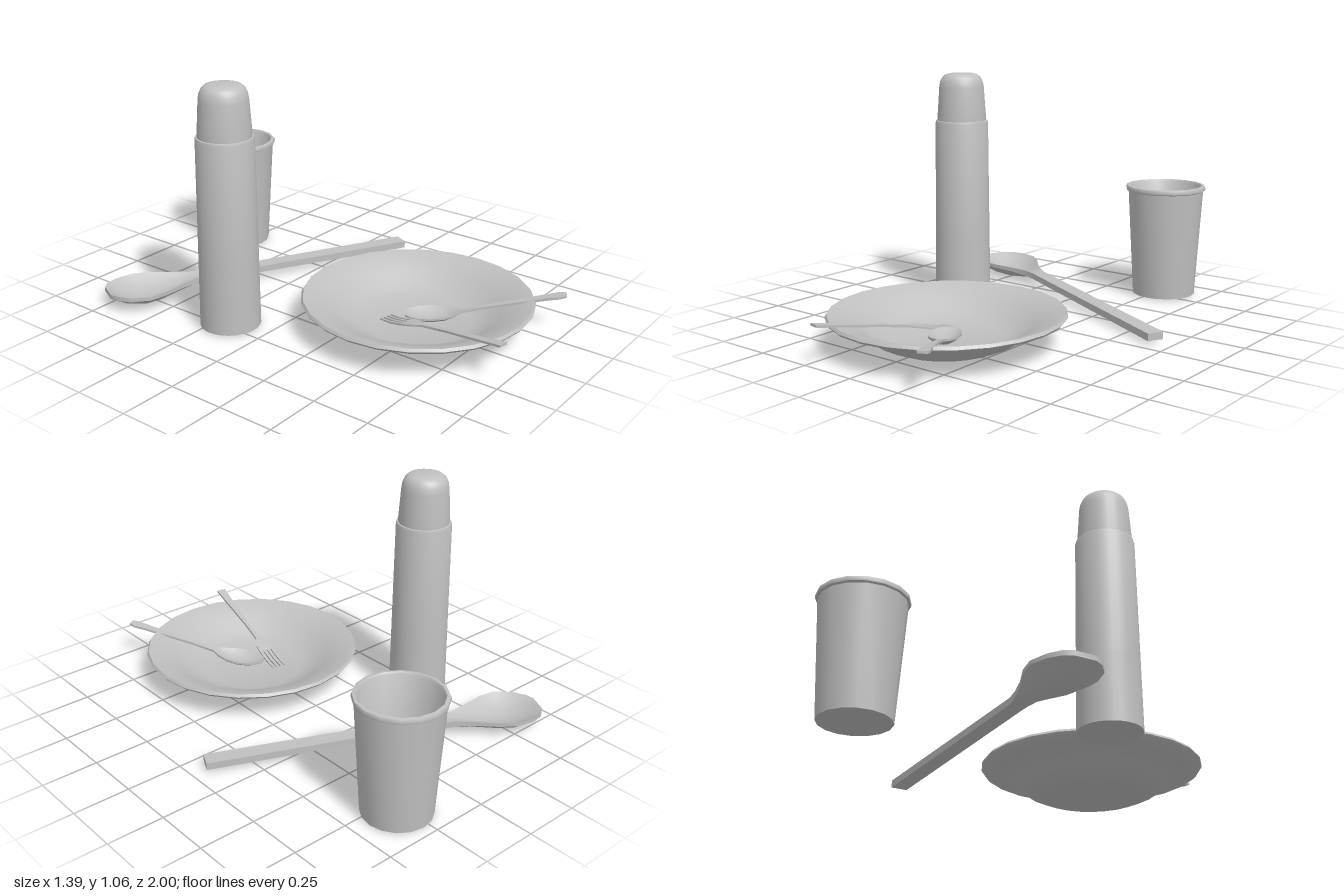
import * as THREE from 'three';
import { toCreasedNormals } from 'three/addons/utils/BufferGeometryUtils.js';

const grey = new THREE.MeshStandardMaterial({ color: 0xc0c0c0 });
grey.name = 'plain grey';

function makeMesh(name, geometry, crease = 0.7) {
  const mesh = new THREE.Mesh(toCreasedNormals(geometry, crease), grey);
  mesh.name = name;
  return mesh;
}

// Round part turned from [radius, height] points, bottom to top on the outside
function turned(name, profile, sides, x, z) {
  const points = profile.map(([r, y]) => new THREE.Vector2(r, y));
  const mesh = makeMesh(name, new THREE.LatheGeometry(points, sides));
  mesh.position.set(x, 0, z);
  return mesh;
}

// Closed strip from stations [along, centre, halfWidth, top, hollow, thickness]
function strip(name, stations, across = 8) {
  const positions = [];
  const index = [];
  const ring = 2 * (across + 1);
  for (const [s, c, w, top, hollow, thick] of stations) {
    for (let i = 0; i < ring; i++) {
      const under = i <= across;
      const u = ((under ? i : ring - 1 - i) / across) * 2 - 1;
      positions.push(c + u * w, top - hollow * (1 - u * u) - (under ? thick : 0), s);
    }
  }
  for (let j = 0; j < stations.length - 1; j++) {
    for (let i = 0; i < ring; i++) {
      const a = j * ring + i;
      const b = j * ring + ((i + 1) % ring);
      index.push(a, b, b + ring, a, b + ring, a + ring);
    }
  }
  const last = (stations.length - 1) * ring;
  for (let i = 1; i < ring - 1; i++) {
    index.push(0, i + 1, i, last, last + i, last + i + 1);
  }
  const geometry = new THREE.BufferGeometry();
  geometry.setAttribute('position', new THREE.Float32BufferAttribute(positions, 3));
  geometry.setIndex(index);
  return makeMesh(name, geometry);
}

// Lay a utensil with its tip at one point of the plan and its handle toward another
function lay(object, tip, end) {
  object.position.set(tip[0], 0, tip[1]);
  object.rotation.y = Math.atan2(end[0] - tip[0], end[1] - tip[1]);
  return object;
}

function makeFork() {
  const fork = new THREE.Group();
  fork.name = 'fork';
  for (const c of [-0.03, -0.01, 0.01, 0.03]) {
    fork.add(strip('forkTine', [
      [0, c, 0.003, 0.045, 0, 0.006],
      [0.06, c, 0.005, 0.052, 0, 0.008],
      [0.135, c, 0.006, 0.07, 0, 0.008],
    ], 1));
  }
  fork.add(strip('forkHandle', [
    [0.13, 0, 0.036, 0.069, 0, 0.008],
    [0.17, 0, 0.034, 0.08, 0, 0.008],
    [0.2, 0, 0.022, 0.087, 0, 0.009],
    [0.225, 0, 0.01, 0.092, 0, 0.01],
    [0.35, 0, 0.01, 0.118, 0, 0.01],
    [0.659, 0, 0.021, 0.177, 0, 0.01],
  ], 2));
  return fork;
}

export function createModel() {
  const model = new THREE.Group();
  model.name = 'tableware';

  // Flask: tapered body, seam ring and domed cap
  const fx = -0.46, fz = -0.19;
  model.add(turned('flaskBody', [
    [0, 0.008], [0.131, 0.008], [0.128, 0.3], [0.123, 0.835], [0.12, 0.846], [0.1, 0.85], [0, 0.85],
  ], 28, fx, fz));
  model.add(turned('flaskCap', [
    [0, 0.84], [0.114, 0.84], [0.114, 0.855], [0.104, 1.0], [0.1, 1.025], [0.09, 1.047],
    [0.075, 1.06], [0.055, 1.065], [0, 1.065],
  ], 28, fx, fz));

  // Cup: thin wall with a rolled rim
  model.add(turned('cup', [
    [0, 0.008], [0.148, 0.008], [0.178, 0.508], [0.187, 0.512], [0.189, 0.522], [0.185, 0.532],
    [0.172, 0.534], [0.165, 0.525], [0.135, 0.03], [0, 0.03],
  ], 16, 0.283, -0.812));

  // Soup plate: shallow basin with a broad sloping rim
  model.add(turned('plate', [
    [0, 0.008], [0.235, 0.008], [0.3, 0.036], [0.36, 0.078], [0.42, 0.106], [0.49, 0.128], [0.498, 0.138],
    [0.49, 0.15], [0.47, 0.145], [0.36, 0.1], [0.31, 0.06], [0.23, 0.032], [0, 0.028],
  ], 24, 0.01, 0.457));

  // Long serving spoon
  model.add(lay(strip('servingSpoon', [
    [0, -0.015, 0.045, 0.081, 0, 0.02],
    [0.02, -0.015, 0.08, 0.081, 0.012, 0.02],
    [0.07, -0.02, 0.118, 0.08, 0.042, 0.018],
    [0.15, -0.022, 0.14, 0.08, 0.06, 0.016],
    [0.23, -0.02, 0.12, 0.08, 0.054, 0.017],
    [0.32, -0.015, 0.075, 0.078, 0.034, 0.02],
    [0.4, -0.01, 0.045, 0.076, 0.012, 0.025],
    [0.46, -0.01, 0.033, 0.074, 0, 0.028],
    [1.5, 0, 0.036, 0.05, 0, 0.032],
  ]), [-0.67, -0.74], [0.675, -0.083]));

  // Small spoon resting in the plate
  model.add(lay(strip('smallSpoon', [
    [0, 0, 0.022, 0.064, 0, 0.008],
    [0.02, 0, 0.045, 0.065, 0.01, 0.008],
    [0.06, 0, 0.064, 0.067, 0.024, 0.008],
    [0.11, 0, 0.07, 0.07, 0.03, 0.008],
    [0.17, 0, 0.06, 0.074, 0.026, 0.008],
    [0.215, 0, 0.037, 0.08, 0.012, 0.009],
    [0.245, 0, 0.013, 0.087, 0, 0.01],
    [0.36, 0, 0.011, 0.113, 0, 0.011],
    [0.6, 0, 0.021, 0.163, 0, 0.011],
    [0.65, 0, 0.025, 0.172, 0, 0.011],
    [0.675, 0, 0.018, 0.177, 0, 0.01],
  ]), [-0.02, 0.415], [0.35, 0.975]));

  // Fork resting in the plate
  model.add(lay(makeFork(), [-0.065, 0.347], [-0.203, 0.992]));

  return model;
}
